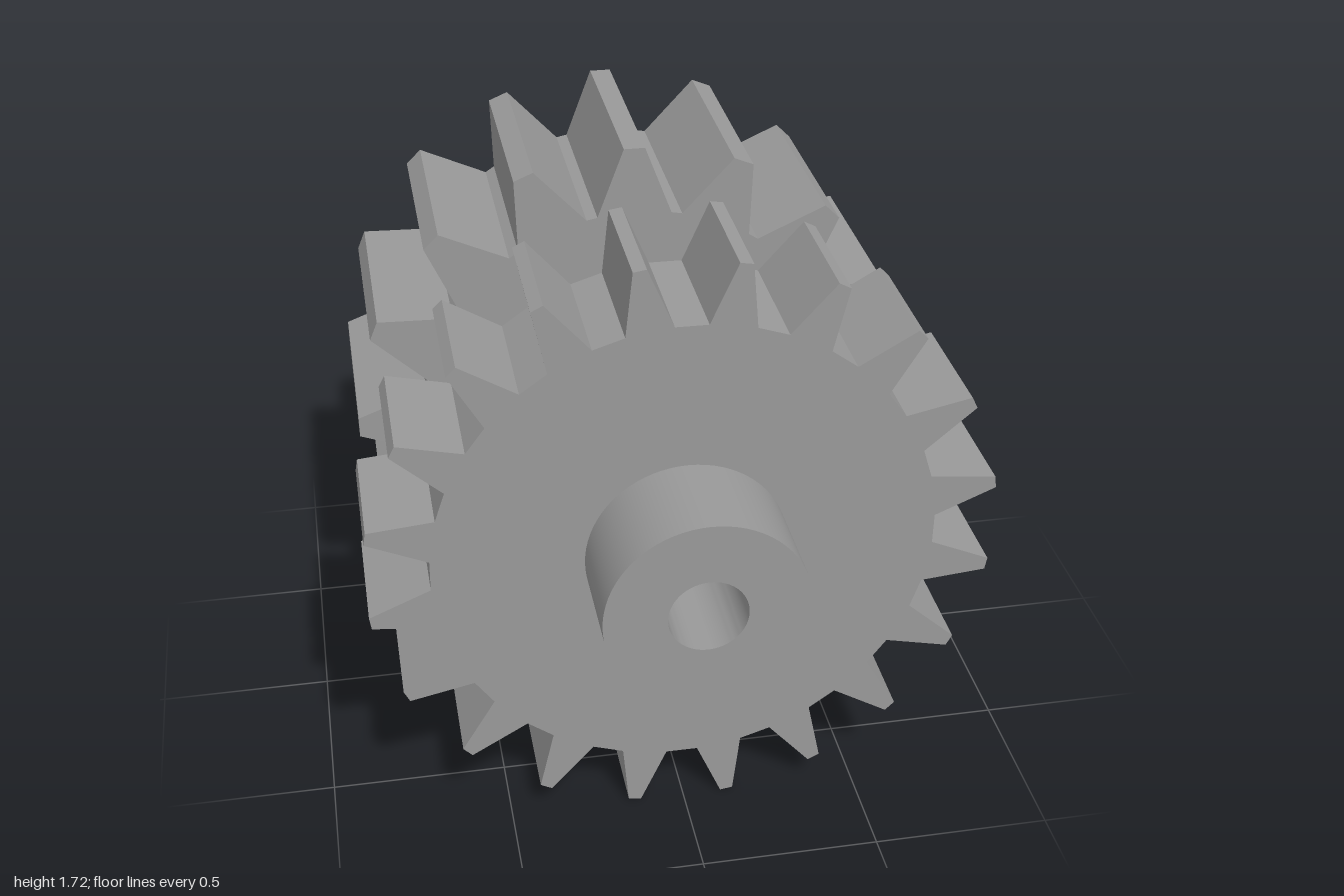
import * as THREE from 'three';
import { toCreasedNormals } from 'three/addons/utils/BufferGeometryUtils.js';

const AXIS_Y = 0.86;
const BORE = 0.107, HUB = 0.277, COLLAR = 0.308;

// Spur gear with straight-flanked teeth; angles are measured from the top, clockwise.
function gearGeometry({ teeth, tip, root, tipHalf, rootHalf, offset, back, front }) {
  const shape = new THREE.Shape();
  const at = (r, a) => new THREE.Vector2(r * Math.sin(a), r * Math.cos(a));
  const points = [];
  for (let i = 0; i < teeth; i++) {
    const a = offset + (i * 2 * Math.PI) / teeth;
    points.push(at(root, a - rootHalf), at(tip, a - tipHalf), at(tip, a + tipHalf), at(root, a + rootHalf));
  }
  shape.setFromPoints(points);
  // The hole is tucked just inside the shaft surface
  const hole = new THREE.Path();
  hole.absarc(0, 0, HUB - 0.02, 0, Math.PI * 2, true);
  shape.holes.push(hole);
  const geometry = new THREE.ExtrudeGeometry(shape, { depth: front - back, bevelEnabled: false, curveSegments: 24 });
  geometry.translate(0, 0, back);
  return geometry;
}

// Hollow shaft: hub ends, thicker collar between the gears, bore right through.
function shaftGeometry() {
  const profile = [
    [BORE, -1], [HUB, -1], [HUB, -0.2], [COLLAR, -0.2],
    [COLLAR, 0.4], [HUB, 0.4], [HUB, 1], [BORE, 1], [BORE, -1],
  ].map(([r, z]) => new THREE.Vector2(r, z));
  const geometry = new THREE.LatheGeometry(profile, 72);
  geometry.rotateX(Math.PI / 2);
  return toCreasedNormals(geometry, Math.PI / 6);
}

export function createModel() {
  const group = new THREE.Group();
  group.name = 'doubleGear';
  const steel = new THREE.MeshStandardMaterial({ color: 0x999999 });
  steel.name = 'greySteel';
  const rad = THREE.MathUtils.degToRad;

  const add = (name, geometry) => {
    const mesh = new THREE.Mesh(geometry, steel);
    mesh.name = name;
    mesh.position.y = AXIS_Y;
    group.add(mesh);
  };

  add('shaft', shaftGeometry());

  // Narrow gear, 20 teeth
  add('frontGear', gearGeometry({
    teeth: 20, tip: 0.866, root: 0.692, tipHalf: rad(1.2), rootHalf: rad(5.3),
    offset: rad(9.5), back: 0.34, front: 0.708,
  }));

  // Wide gear, 16 teeth
  add('rearGear', gearGeometry({
    teeth: 16, tip: 0.832, root: 0.635, tipHalf: rad(2.1), rootHalf: rad(9.8),
    offset: 0, back: -0.71, front: -0.095,
  }));

  return group;
}
